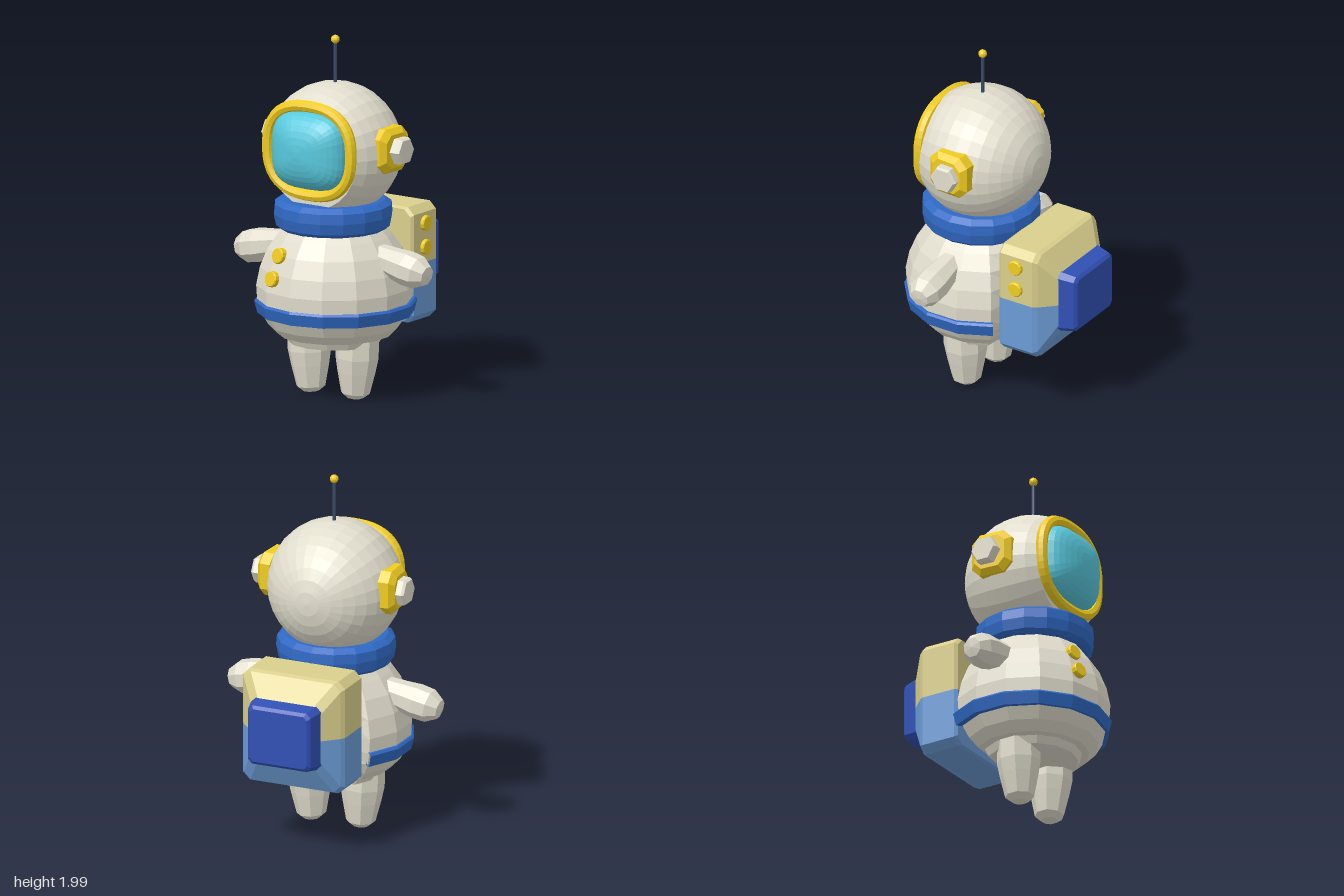
import * as THREE from 'three';

const mat = (color) => new THREE.MeshStandardMaterial({ color, flatShading: true, side: THREE.DoubleSide });
const V3 = (x, y, z) => new THREE.Vector3(x, y, z);
const AXIS_Z = 0.142; // the figure's vertical axis sits forward of the pack

// Revolve [radius, y] pairs, listed from bottom to top
const lathe = (profile, sides, start = 0, sweep = Math.PI * 2) =>
  new THREE.LatheGeometry(profile.map(([r, y]) => new THREE.Vector2(r, y)), sides, start, sweep);

// Skin equal-sized counter-clockwise loops that advance toward +z, with capped ends
function loft(loops) {
  const n = loops[0].length, index = [];
  for (let i = 0; i < loops.length - 1; i++) {
    for (let j = 0; j < n; j++) {
      const a = i * n + j, b = i * n + (j + 1) % n;
      index.push(a, b, a + n, b, b + n, a + n);
    }
  }
  const last = (loops.length - 1) * n;
  for (let k = 1; k < n - 1; k++) index.push(0, k + 1, k, last, last + k, last + k + 1);
  const g = new THREE.BufferGeometry().setFromPoints(loops.flat());
  g.setIndex(index);
  g.computeVertexNormals();
  return g;
}

// Rounded-square loop around the visor centre
function squircle(w, h, power, z, count) {
  return Array.from({ length: count }, (_, i) => {
    const a = (i / count) * Math.PI * 2, c = Math.cos(a), s = Math.sin(a);
    return V3(w * Math.sign(c) * Math.abs(c) ** (2 / power), 1.4 + h * Math.sign(s) * Math.abs(s) ** (2 / power), z);
  });
}

// Rectangle loop with chamfered corners
const chamfered = (z, w, top, low, c) => [V3(-w, low + c, z), V3(c - w, low, z), V3(w - c, low, z), V3(w, low + c, z),
  V3(w, top - c, z), V3(w - c, top, z), V3(c - w, top, z), V3(-w, top - c, z)];

export function createModel() {
  const root = new THREE.Group();
  const suit = mat(0xe2dece), yellow = mat(0xf0cc20), blue = mat(0x3069c4), glass = mat(0x58c8dc);
  const tan = mat(0xdacf8c), paleBlue = mat(0x6c9cd6), deepBlue = mat(0x3050b4), steel = mat(0x3c4a66);

  const add = (name, geometry, material, x = 0, y = 0, z = 0) => {
    const m = new THREE.Mesh(geometry, material);
    m.name = name;
    m.position.set(x, y, z);
    root.add(m);
    return m;
  };

  // Torso: faceted barrel, its back flattened for the pack and tucked in below it
  const torso = lathe([[0, 0.285], [0.17, 0.29], [0.25, 0.305], [0.27, 0.345], [0.31, 0.35], [0.36, 0.4], [0.4, 0.47],
    [0.42, 0.54], [0.425, 0.62], [0.405, 0.72], [0.365, 0.82], [0.31, 0.9], [0.27, 0.95], [0.24, 1.02], [0, 1.02]], 14);
  const p = torso.attributes.position;
  for (let i = 0; i < p.count; i++) {
    const back = -0.15 + 0.75 * Math.max(0, 0.47 - p.getY(i)) - AXIS_Z;
    p.setZ(i, Math.max(p.getZ(i), back));
  }
  torso.computeVertexNormals();
  add('torso', torso, suit, 0, 0, AXIS_Z);

  // Belt, open at the back
  const step = Math.PI / 7;
  add('belt', lathe([[0.39, 0.465], [0.425, 0.465], [0.442, 0.53], [0.432, 0.542], [0.39, 0.542], [0.39, 0.465]],
    10, -5 * step, 10 * step), blue, 0, 0, AXIS_Z - 0.01);

  // Collar ring
  add('collar', lathe([[0.2, 0.94], [0.29, 0.94], [0.313, 0.96], [0.325, 1.02], [0.32, 1.075], [0.285, 1.1],
    [0.2, 1.1]], 16), blue, 0, 0, 0.157);

  // Helmet: a sphere revolved about z, cut flat behind the visor
  const R = 0.369, cut = Math.acos(0.218 / R), shell = [];
  for (let i = 0; i <= 12; i++) {
    const a = Math.PI + (cut - Math.PI) * (i / 12);
    shell.push([R * Math.sin(a), R * Math.cos(a)]);
  }
  add('helmet', lathe([...shell, [0, 0.218]], 28), suit, 0, 1.373, 0.147).rotation.x = Math.PI / 2;

  // Visor dome and its frame
  const dome = [];
  for (let i = 0; i <= 8; i++) {
    const u = (i / 8) * 1.5;
    dome.push(squircle(0.235 * Math.cos(u), 0.213 * Math.cos(u), 3.2, 0.375 + 0.132 * Math.sin(u), 32));
  }
  add('visor', loft(dome), glass);
  const rim = new THREE.CatmullRomCurve3(squircle(0.274, 0.246, 2.5, 0.38, 28), true);
  add('visorFrame', new THREE.TubeGeometry(rim, 48, 0.032, 8, true), yellow);

  // Antenna
  add('antennaRod', new THREE.CylinderGeometry(0.01, 0.01, 0.27, 8), steel, 0.006, 1.845, 0.145);
  add('antennaTip', new THREE.SphereGeometry(0.024, 10, 8), yellow, 0.006, 1.976, 0.145);

  for (const s of [1, -1]) {
    const side = s > 0 ? 'left' : 'right';

    // Earpiece: rounded square pad with a hexagonal cap
    const pad = add(side + 'EarPad', loft([chamfered(0, 0.122, 0.122, -0.122, 0.05),
      chamfered(0.06, 0.122, 0.122, -0.122, 0.05), chamfered(0.088, 0.092, 0.092, -0.092, 0.04)]),
      yellow, s * 0.315, 1.408, 0.12);
    pad.rotation.y = s * (Math.PI / 2 - 0.06);
    const cap = add(side + 'EarCap', lathe([[0.08, 0], [0.08, 0.05], [0.07, 0.065], [0, 0.065]], 6),
      suit, s * 0.39, 1.408, 0.115);
    cap.rotation.z = -s * Math.PI / 2;

    // Stubby arm, drooping slightly
    const arm = add(side + 'Arm', lathe([[0, 0], [0.075, 0], [0.085, 0.1], [0.096, 0.19], [0.092, 0.265],
      [0.055, 0.325], [0, 0.333]], 8, Math.PI / 8), suit, s * 0.3, 0.81, 0.155);
    arm.rotation.z = -s * (Math.PI / 2 + 0.2);

    // Tapered leg
    const leg = add(side + 'Leg', lathe([[0, 0.01], [0.045, 0.012], [0.08, 0.04], [0.106, 0.16], [0.12, 0.24],
      [0.118, 0.35], [0, 0.35]], 8, Math.PI / 8), suit, s * 0.145, 0, 0.157);
    leg.rotation.z = -s * 0.05;
  }

  // Chest buttons
  const disc = (r, h) => lathe([[r, 0], [r, h - 0.006], [r - 0.005, h], [0, h]], 12);
  for (const [x, y, z] of [[-0.12, 0.817, 0.465], [-0.135, 0.695, 0.51]]) {
    const b = add('chestButton', disc(0.044, 0.04), yellow, x, y, z);
    b.rotation.order = 'YXZ';
    b.rotation.set(Math.PI / 2 - 0.2, -0.2, 0);
  }

  // Backpack shell: chamfered sections split into an upper and a lower half
  const pack = [[-0.478, 0.207, 0.895, 0.54], [-0.395, 0.288, 1.01, 0.39], [-0.37, 0.304, 1.02, 0.38],
    [-0.165, 0.304, 1.02, 0.38], [-0.15, 0.29, 1.01, 0.39]];
  const c = 0.04, split = 0.703;
  add('packUpper', loft(pack.map(([z, w, top]) => [V3(-w, split, z), V3(w, split, z), V3(w, top - c, z),
    V3(w - c, top, z), V3(c - w, top, z), V3(-w, top - c, z)])), tan, 0.003);
  add('packLower', loft(pack.map(([z, w, , low]) => [V3(w, split, z), V3(-w, split, z), V3(-w, low + c, z),
    V3(c - w, low, z), V3(w - c, low, z), V3(w, low + c, z)])), paleBlue, 0.003);

  // Rear block of the pack
  add('packRear', loft([chamfered(-0.575, 0.17, 0.865, 0.565, 0.02), chamfered(-0.56, 0.187, 0.882, 0.548, 0.025),
    chamfered(-0.47, 0.21, 0.897, 0.533, 0.03)]), deepBlue, 0.003);

  // Pack buttons on the left side
  for (const y of [0.92, 0.787]) {
    add('packButton', disc(0.043, 0.04), yellow, 0.288, y, -0.267).rotation.z = -Math.PI / 2;
  }

  return root;
}
